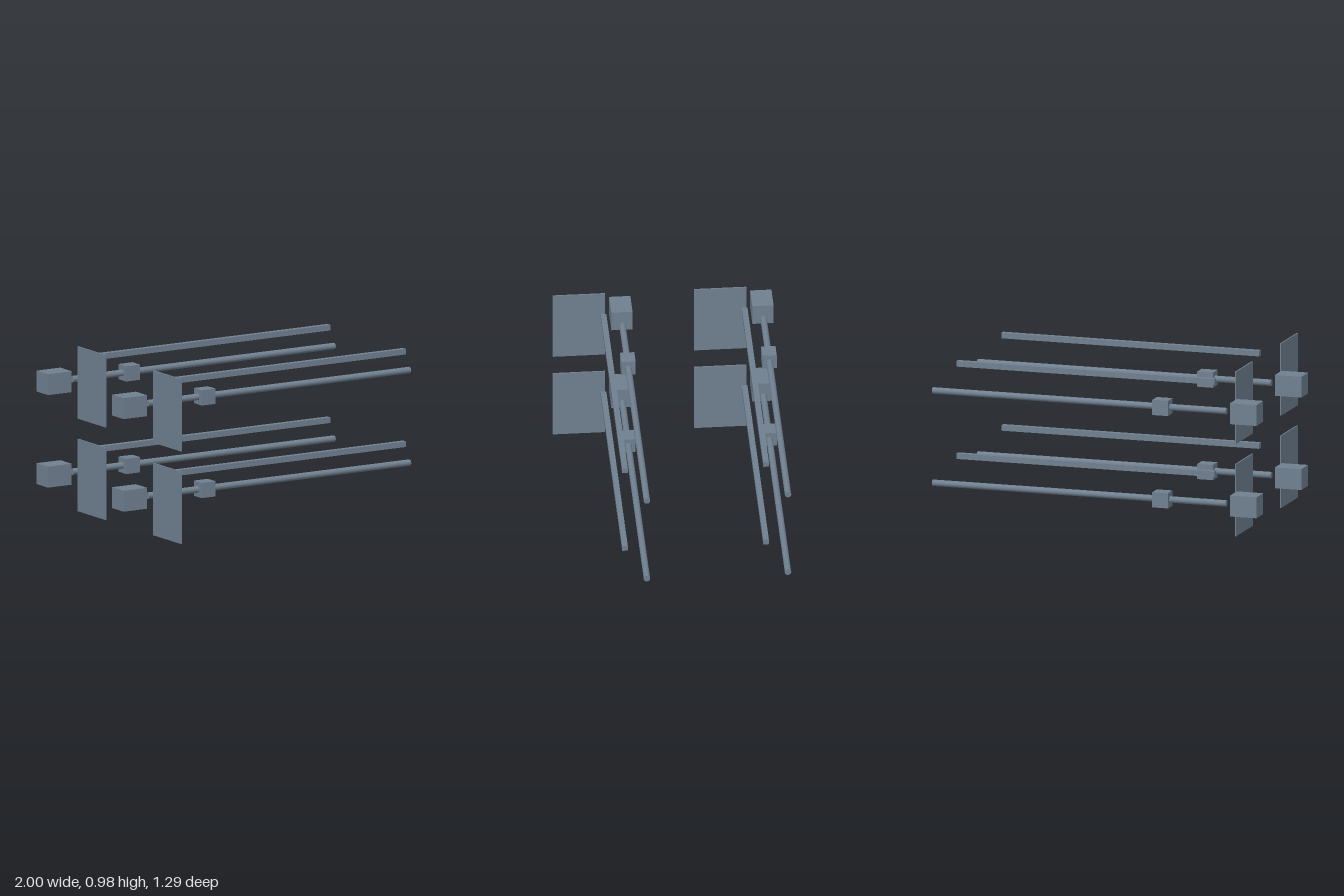
import * as THREE from 'three';

const steel = new THREE.MeshStandardMaterial({ color: 0x708090 });
steel.name = 'slate grey';

function box(name, size, position) {
  const mesh = new THREE.Mesh(new THREE.BoxGeometry(...size), steel);
  mesh.name = name;
  mesh.position.set(...position);
  return mesh;
}

// One linear drive: motor, rod, sliding block, guide rail and end plate
function createDrive() {
  const drive = new THREE.Group();
  const y = 0.214, z = 0.241;

  const rod = new THREE.Mesh(new THREE.CylinderGeometry(0.019, 0.019, 1.797, 32), steel);
  rod.name = 'rod';
  rod.rotation.z = Math.PI / 2;
  rod.position.set(0.1015, y, z);

  drive.add(
    rod,
    box('motor', [0.162, 0.124, 0.124], [-0.919, y, z]),
    box('slidingBlock', [0.096, 0.09, 0.084], [-0.404, y, z]),
    box('guideRail', [1.577, 0.033, 0.033], [0.1015, 0.358, 0.36]),
    box('endPlate', [0.008, 0.428, 0.305], [-0.818, 0.214, 0.4925]),
  );
  return drive;
}

export function createModel() {
  const model = new THREE.Group();
  model.name = 'linearDrives';
  // Two rows, two levels
  for (const [row, z] of [['front', 0], ['back', -0.821]]) {
    for (const [level, y] of [['Lower', 0], ['Upper', 0.548]]) {
      const drive = createDrive();
      drive.name = `${row}${level}Drive`;
      drive.position.set(0, y, z);
      model.add(drive);
    }
  }
  return model;
}
